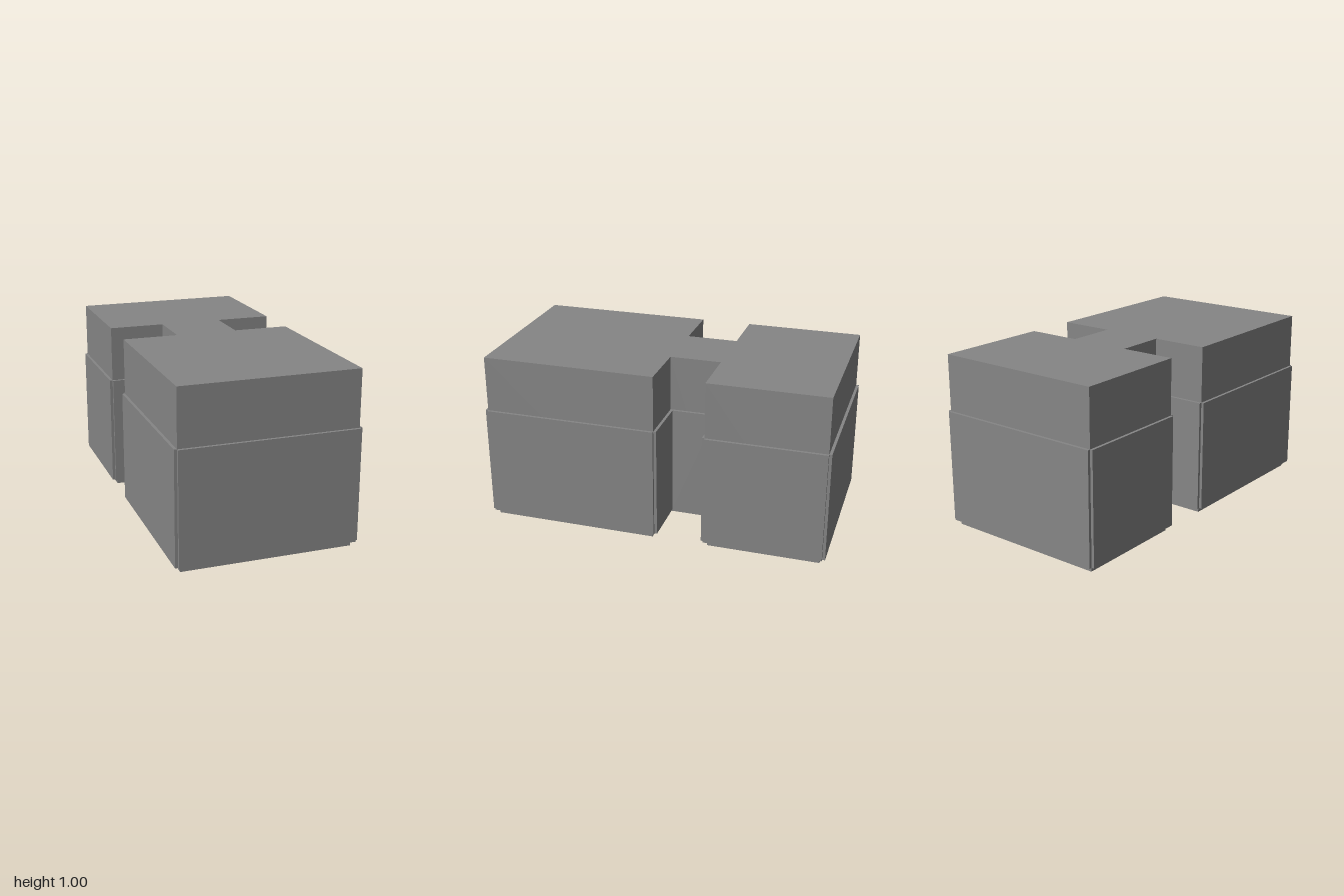
import * as THREE from 'three';

const W = 0.5, L = 0.984;           // body half width and half length
const NECK = 0.18;                  // half width between the notches
const Z1 = -0.014, Z2 = -0.307;     // front and back walls of the notches
const T = 0.016;                    // panel thickness and base inset
const BASE = 0.033, PANEL_TOP = 0.678, TOP = 1;

const material = new THREE.MeshStandardMaterial({ color: 0x868686 });

// H-shaped slab between two heights, shrunk by an inset on every wall
function slab(name, y0, y1, inset) {
  const w = W - inset, l = L - inset, n = NECK - inset;
  const a = Z1 + inset, b = Z2 - inset;
  // shape y becomes -z once the extrusion is laid flat
  const half = [[w, l], [w, a], [n, a], [n, b], [w, b], [w, -l]];
  const mirrored = half.map(([x, z]) => [-x, z]).reverse();
  const points = [...half, ...mirrored].map(([x, z]) => new THREE.Vector2(x, -z));
  const geometry = new THREE.ExtrudeGeometry(new THREE.Shape(points), {
    depth: y1 - y0, bevelEnabled: false,
  });
  geometry.rotateX(-Math.PI / 2).translate(0, y0, 0);
  const mesh = new THREE.Mesh(geometry, material);
  mesh.name = name;
  return mesh;
}

// Thin upright panel covering the given x and z ranges
function panel(name, x0, x1, z0, z1) {
  const geometry = new THREE.BoxGeometry(Math.abs(x1 - x0), PANEL_TOP - BASE, Math.abs(z1 - z0));
  const mesh = new THREE.Mesh(geometry, material);
  mesh.position.set((x0 + x1) / 2, (BASE + PANEL_TOP) / 2, (z0 + z1) / 2);
  mesh.name = name;
  return mesh;
}

export function createModel() {
  const group = new THREE.Group();
  group.name = 'notchedBlock';

  // recessed plinth and main body
  group.add(slab('plinth', 0, BASE, T), slab('body', BASE, TOP, 0));

  // end panels
  group.add(panel('frontPanel', -W, W, L, L + T), panel('backPanel', -W, W, -L - T, -L));

  // side and notch panels, mirrored; outer corners stay open
  for (const [side, s] of [['left', 1], ['right', -1]]) {
    group.add(
      panel(side + 'FrontSidePanel', s * W, s * (W + T), Z1, L),
      panel(side + 'BackSidePanel', s * W, s * (W + T), -L, Z2),
      panel(side + 'NotchFrontPanel', s * NECK, s * W, Z1 - T, Z1),
      panel(side + 'NotchBackPanel', s * NECK, s * W, Z2, Z2 + T),
      panel(side + 'NotchInnerPanel', s * NECK, s * (NECK + T), Z2 + T, Z1 - T),
    );
  }
  return group;
}
